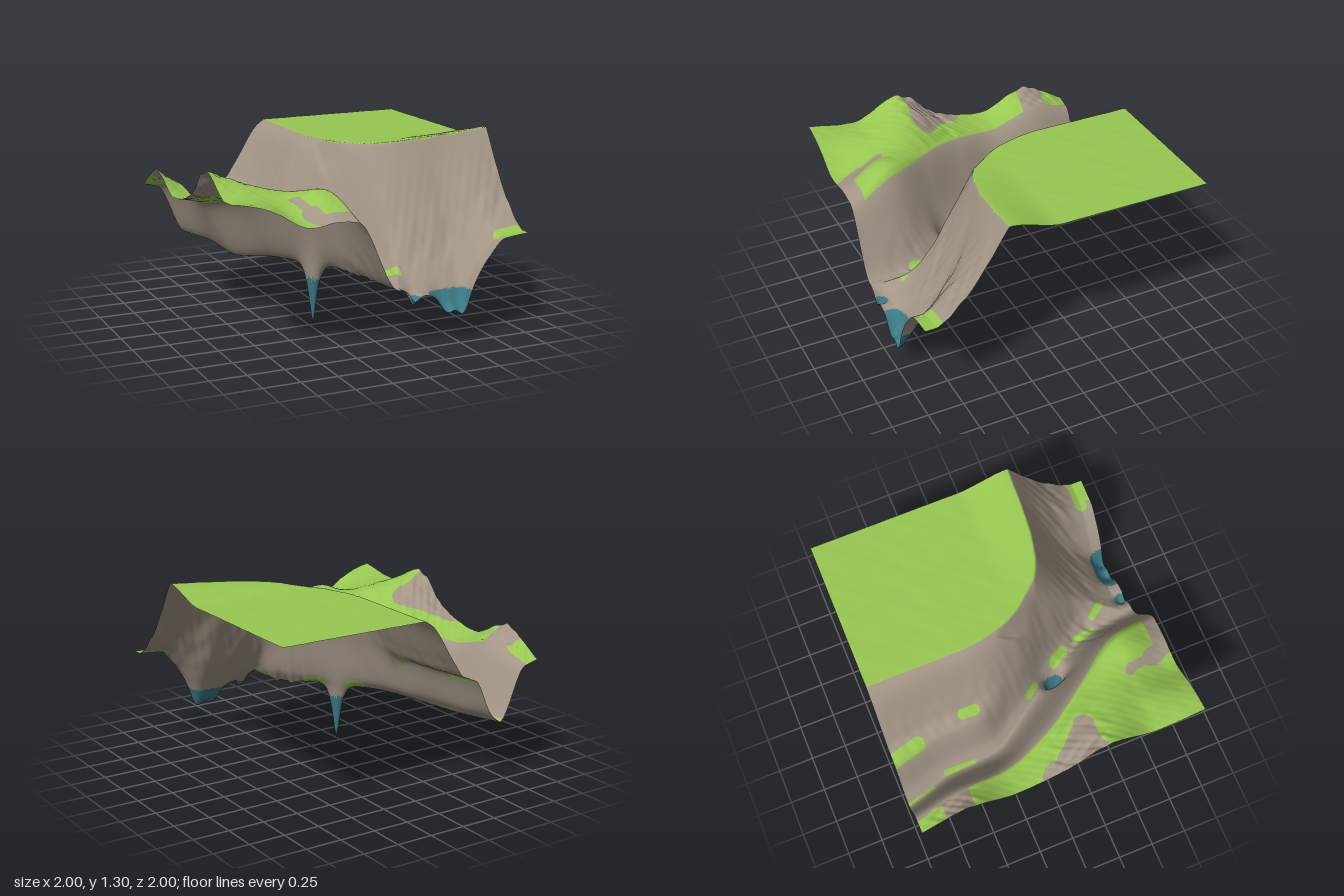
import * as THREE from 'three';

const grass = new THREE.MeshStandardMaterial({ name: 'grass', color: 0x98c851, side: THREE.DoubleSide });
const rock = new THREE.MeshStandardMaterial({ name: 'rock', color: 0xa39687, side: THREE.DoubleSide });
const water = new THREE.MeshStandardMaterial({ name: 'water', color: 0x3b7a87, side: THREE.DoubleSide });

const { lerp, smoothstep, clamp } = THREE.MathUtils;

// Smooth curve through points without overshoot, held flat outside its ends
function curve(pts) {
  const n = pts.length;
  const slope = (i) => (pts[i + 1][1] - pts[i][1]) / (pts[i + 1][0] - pts[i][0]);
  const tangent = pts.map((p, i) => {
    if (i === 0) return slope(0);
    if (i === n - 1) return slope(n - 2);
    const a = slope(i - 1), b = slope(i);
    return a * b <= 0 ? 0 : (2 * a * b) / (a + b);
  });
  return (x) => {
    if (x <= pts[0][0]) return pts[0][1];
    if (x >= pts[n - 1][0]) return pts[n - 1][1];
    let i = 0;
    while (x > pts[i + 1][0]) i++;
    const w = pts[i + 1][0] - pts[i][0], t = (x - pts[i][0]) / w, s = 1 - t;
    return (1 + 2 * t) * s * s * pts[i][1] + t * s * s * w * tangent[i]
      + t * t * (3 - 2 * t) * pts[i + 1][1] - t * t * s * w * tangent[i + 1];
  };
}
// Values at even stations from the back (z = -1) to the front (z = 1)
const along = (...v) => curve(v.map((y, i) => [-1 + (2 * i) / (v.length - 1), y]));

// Guide lines running from back to front
const edgeH = along(0.8, 0.96, 0.84, 0.92, 1.15, 1.02, 1.07);
const crestX = along(-0.9, -0.87, -0.84, -0.73, -0.53, -0.33, -0.25);
const crestH = along(0.77, 0.87, 0.8, 0.87, 0.96, 1.03, 0.89);
const floorX = along(-0.69, -0.59, -0.56, -0.37, -0.13, 0.05, 0.08);
const floorH = along(0.41, 0.405, 0.39, 0.43, 0.435, 0.4, 0.41);
const rimX = along(-0.06, -0.06, -0.06, 0.005, 0.24, 0.43, 0.51);
const rimZ = curve([[-0.05, -0.12], [0, -0.01], [0.085, 0.15], [0.21, 0.29], [0.37, 0.365], [0.6, 0.405], [1, 0.425]]);
const frontH = curve([[0, 0.42], [0.1, 0.4], [0.2, 0.36], [0.3, 0.352], [0.54, 0.355], [0.7, 0.55], [0.82, 0.67], [1, 0.69]]);

// Cliff profiles from floor (0) to rim (1)
const plainCliff = curve([[0, 0], [0.17, 0.08], [0.5, 0.51], [0.87, 0.92], [1, 1]]);
const shelfCliff = curve([[0, 0], [0.12, 0.09], [0.33, 0.41], [0.5, 0.47], [0.62, 0.6], [0.9, 0.94], [1, 1]]);

const bump = (x, z, cx, cz, rx, rz) => Math.exp(-(((x - cx) / rx) ** 2) - ((z - cz) / rz) ** 2);

// The lower of two heights with the crease rounded over k
function softMin(a, b, k) {
  const t = Math.max(k - Math.abs(a - b), 0) / k;
  return Math.min(a, b) - (t * t * k) / 4;
}

// Soft repeating roughness
const rough = (x, z) => Math.sin(23 * x + 9 * z + 2 * Math.sin(13 * z)) * 0.5
  + Math.sin(31 * z - 17 * x + 2 * Math.sin(19 * x)) * 0.3 + Math.sin(61 * x + 47 * z) * 0.2;

const plateau = (x, z) => 1.2 + 0.01 * (z + 1) + 0.085 * Math.max(x, 0) * smoothstep(z, 0.05, 0.42)
  + 0.001 * rough(x, z);

function height(x, z) {
  const fx = floorX(z), cx = crestX(z);
  let h;
  if (x < cx) {
    // Left bank top with rough crags
    h = lerp(edgeH(z), crestH(z), (x + 1) / (cx + 1));
    const crag = bump(x, z, -0.95, 0.15, 0.2, 0.2) + bump(x, z, -0.97, -0.75, 0.1, 0.15);
    h += rough(x * 1.6, z * 1.6) * (0.002 + 0.017 * crag);
  } else if (x < fx) {
    // Left bank falling to the floor
    h = lerp(crestH(z), floorH(z), smoothstep(x, cx, fx - 0.03 * smoothstep(z, 0, 0.3)));
  } else {
    // Right cliff, front cliff and plateau
    const top = plateau(x, z);
    const v = clamp((x - fx) / (rimX(z) - fx), 0, 1);
    const plain = smoothstep(z, -0.4, -0.12);
    const f = lerp(shelfCliff(v), plainCliff(v), plain);
    const west = lerp(floorH(z), top, f)
      + lerp(0.004, 0.009, plain) * rough(x * 0.6, z * 1.7) * Math.sin(Math.PI * v) ** 2;
    const u = clamp((z - rimZ(x)) / (0.92 - rimZ(x)), 0, 1);
    const drop = 0.6 * Math.sin((u * Math.PI) / 2) + 0.4 * u;
    const south = lerp(top, frontH(x), drop) + 0.013 * rough(x * 1.3, z * 1.3) * Math.sin(Math.PI * u) ** 2;
    h = softMin(west, south, 0.001 + 0.1 * Math.sin(Math.PI * u) * Math.sin(Math.PI * v));
  }
  // Hollow and knoll at the front of the left bank
  h += 0.03 * bump(x, z, -0.4, 0.73, 0.1, 0.14) - 0.09 * bump(x, z, -0.59, 0.92, 0.17, 0.28);
  // Small rubble on the lower stream bed
  h += 0.018 * rough(x * 1.5, z * 1.5) * bump(x, z, 0, 0.55, 0.14, 0.25);
  // Front pools
  h -= 0.14 * bump(x, z, 0.52, 1, 0.055, 0.1) + 0.14 * bump(x, z, 0.41, 0.98, 0.075, 0.09)
    + 0.08 * bump(x, z, 0.16, 0.97, 0.04, 0.045);
  // Deep pointed sinkhole
  const r = Math.hypot((x + 0.232) / 0.036, (z - 0.272) / 0.056);
  return h * (1 - Math.exp(-(r ** 1.35)));
}

// Grass strips: x0, z0, x1, z1, radius
const strips = [
  [-0.7, -1, -0.65, -0.8, 0.015], [-0.58, -0.68, -0.575, -0.47, 0.017],
  [-0.46, -1, -0.41, -0.8, 0.045], [-0.335, -0.45, -0.335, -0.36, 0.033],
  [-0.3, 0.05, -0.24, 0.13, 0.02], [-0.13, 0.31, -0.07, 0.41, 0.032],
  [-0.02, 0.53, 0, 0.66, 0.028], [0.09, 0.7, 0.15, 0.79, 0.023],
  [0.83, 0.92, 1, 0.92, 0.045], [0.9, 0.99, 1, 0.97, 0.06],
];
// Bare rock on the left bank
const bare = [
  [-1, -0.05, -1, 0.22, 0.09], [-0.93, 0.06, -0.8, 0.22, 0.07], [-1, 0.22, -0.77, 0.23, 0.065],
  [-0.86, -1, -0.83, -0.66, 0.045], [-1, -0.72, -0.85, -0.71, 0.1],
  [-0.54, 0.67, -0.5, 0.82, 0.03], [-0.5, 0.84, -0.44, 1, 0.055], [-0.42, 0.98, -0.2, 0.98, 0.08],
];
const within = (list, x, z) => list.some(([x0, z0, x1, z1, r]) => {
  const dx = x1 - x0, dz = z1 - z0;
  const t = clamp(((x - x0) * dx + (z - z0) * dz) / (dx * dx + dz * dz), 0, 1);
  return Math.hypot(x - x0 - t * dx, z - z0 - t * dz) < r;
});

function surfaceAt(x, y, z) {
  if (y < 0.343) return 'water';
  const onPlateau = x > rimX(z) && z < rimZ(x) + 0.006 * rough(x, z);
  const onBank = x < crestX(z) + lerp(0.025, 0.055, smoothstep(z, 0.2, 0.6))
    && !within(bare, x + 0.01 * rough(z, x), z);
  return onPlateau || onBank || within(strips, x, z) ? 'grass' : 'rock';
}

export function createModel() {
  const N = 250, points = [], all = [];
  for (let j = 0; j <= N; j++) {
    for (let i = 0; i <= N; i++) {
      const x = -1 + (2 * i) / N, z = -1 + (2 * j) / N;
      points.push(x, Math.max(0, height(x, z)), z);
    }
  }
  // Sort the triangles by ground cover
  const index = { grass: [], rock: [], water: [] };
  const addFace = (...face) => {
    const mid = (k) => face.reduce((s, v) => s + points[v * 3 + k], 0) / 3;
    index[surfaceAt(mid(0), mid(1), mid(2))].push(...face);
    all.push(...face);
  };
  for (let j = 0; j < N; j++) {
    for (let i = 0; i < N; i++) {
      const a = j * (N + 1) + i, b = a + 1, c = a + N + 1, d = c + 1;
      addFace(a, c, b);
      addFace(b, c, d);
    }
  }
  // Shared smooth normals keep the covers seamless
  const land = new THREE.BufferGeometry();
  land.setAttribute('position', new THREE.Float32BufferAttribute(points, 3));
  land.setIndex(all);
  land.computeVertexNormals();

  const group = new THREE.Group();
  group.name = 'canyonTerrain';
  const addCover = (name, faces, material) => {
    const geometry = new THREE.BufferGeometry();
    geometry.setAttribute('position', land.attributes.position);
    geometry.setAttribute('normal', land.attributes.normal);
    geometry.setIndex(faces);
    const mesh = new THREE.Mesh(geometry, material);
    mesh.name = name;
    group.add(mesh);
  };
  addCover('grassyGround', index.grass, grass);
  addCover('rockCliffs', index.rock, rock);
  addCover('waterPools', index.water, water);
  return group;
}
